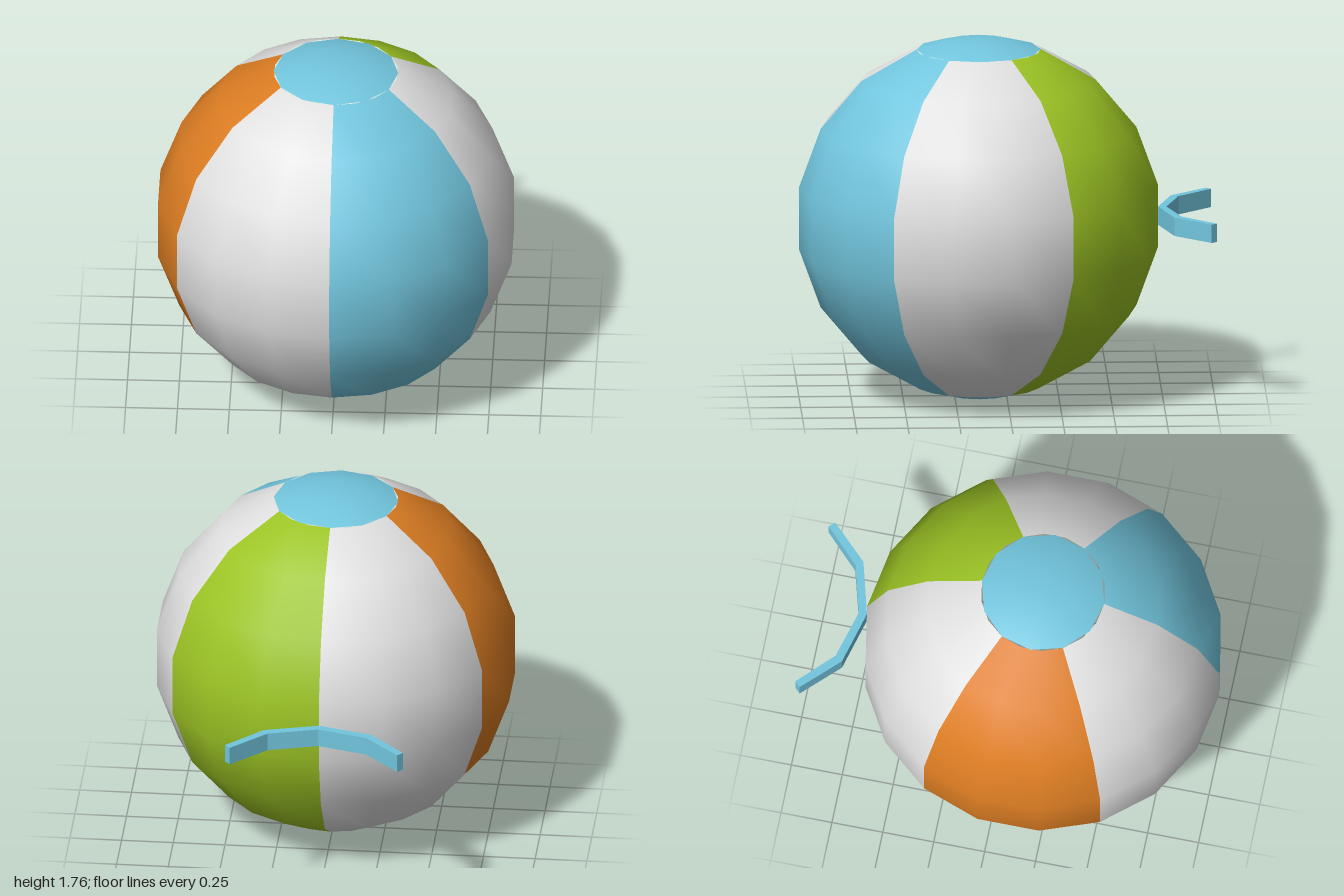
import * as THREE from 'three';

const mat = (name, color) => {
  const m = new THREE.MeshStandardMaterial({ color });
  m.name = name;
  return m;
};

export function createModel() {
  const blue = mat('sky blue', 0x72c6de);
  const white = mat('white', 0xe0e0e0);
  const green = mat('lime green', 0x9cc424);
  const orange = mat('orange', 0xdb7c22);

  const model = new THREE.Group();
  model.name = 'beachBall';
  const R = 0.878, ring = Math.PI / 9;

  const ball = new THREE.Group();
  ball.name = 'ball';
  ball.position.set(0, R, 0.135);
  model.add(ball);
  const add = (parent, name, geometry, material) => {
    const mesh = new THREE.Mesh(geometry, material);
    mesh.name = name;
    parent.add(mesh);
    return mesh;
  };

  // Six panels, two facets wide, starting at the front centre and going towards +x
  [blue, white, green, white, orange, white].forEach((material, i) => {
    const start = Math.PI / 2 + i * Math.PI / 3;
    // sphere angles run from -x through +z to +x
    add(ball, `panel${i + 1}`,
      new THREE.SphereGeometry(R, 2, 7, start, Math.PI / 3, ring, 7 * ring), material);
  });

  // Caps at both poles
  add(ball, 'topCap', new THREE.SphereGeometry(R, 12, 1, 0, Math.PI * 2, 0, ring), blue);
  add(ball, 'bottomCap', new THREE.SphereGeometry(R, 12, 1, 0, Math.PI * 2, 8 * ring, ring), blue);

  // Bent strap behind the ball: plan outline (x, -z) extruded upwards
  const half = [[0.26, 0.80], [0.43, 0.973], [0.405, 1.0], [0.238, 0.836]];
  const mirrored = half.map(([x, y]) => [-x, y]).reverse();
  const outline = [[0, 0.73], ...half, [0, 0.77], ...mirrored];
  const shape = new THREE.Shape(outline.map(([x, y]) => new THREE.Vector2(x, y)));
  const strap = new THREE.ExtrudeGeometry(shape, { depth: 0.09, bevelEnabled: false });
  strap.rotateX(-Math.PI / 2);
  add(model, 'strap', strap, blue).position.y = R - 0.045;

  return model;
}
